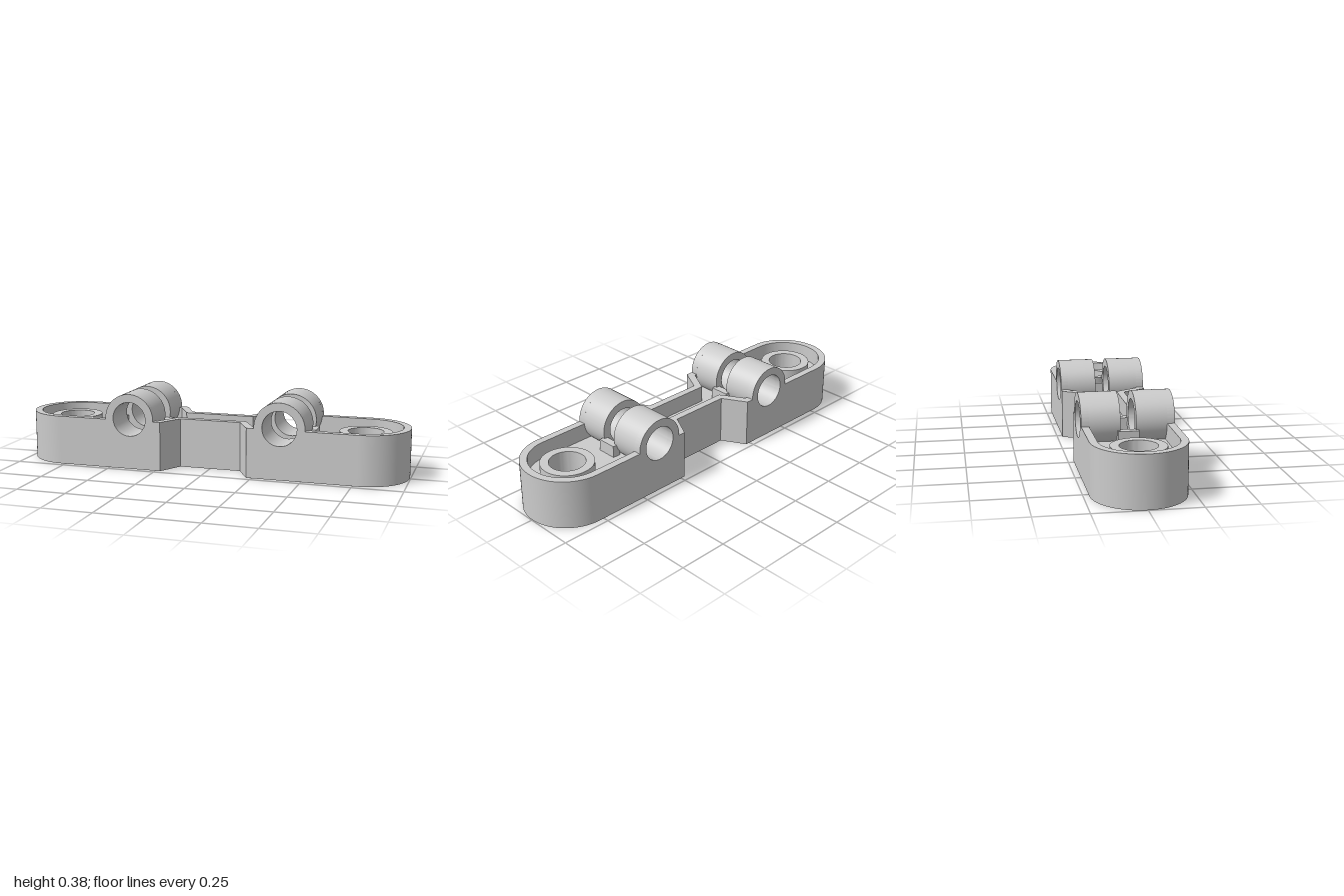
import * as THREE from 'three';
import { toCreasedNormals } from 'three/addons/utils/BufferGeometryUtils.js';

const H = 0.25, W = 0.222, T = 0.037;            // body height, half width, wall thickness
const END_X = 0.775, HINGE_X = 0.39, HINGE_Y = 0.256;
const FLOOR_LOW = 0.085, FLOOR_TOP = 0.165;
const SLOT_X = 0.105, SLOT_Z = 0.037;
const material = new THREE.MeshStandardMaterial({ color: 0xcccccc });

function polygon(points) {
  return new THREE.Shape(points.map(([x, y]) => new THREE.Vector2(x, y)));
}

function circleHole(x, y, r) {
  return new THREE.Path().absarc(x, y, r, 0, Math.PI * 2, true);
}

function slotHole(x) {
  return polygon([[x - SLOT_X, -SLOT_Z], [x - SLOT_X, SLOT_Z], [x + SLOT_X, SLOT_Z], [x + SLOT_X, -SLOT_Z]]);
}

function ring(x, y, outer, inner) {
  const shape = new THREE.Shape().absarc(x, y, outer, 0, Math.PI * 2, false);
  shape.holes.push(circleHole(x, y, inner));
  return shape;
}

function extrude(name, shape, depth) {
  const geometry = new THREE.ExtrudeGeometry(shape, { depth, bevelEnabled: false, curveSegments: 32 });
  const mesh = new THREE.Mesh(toCreasedNormals(geometry, 0.5), material);
  mesh.name = name;
  return mesh;
}

// Plan shape raised from y0 to y1
function slab(name, shape, y0, y1) {
  const mesh = extrude(name, shape, y1 - y0);
  mesh.geometry.rotateX(-Math.PI / 2);
  mesh.position.y = y0;
  return mesh;
}

// Side-view shape running from z0 to z1
function sidePart(name, shape, z0, z1) {
  const mesh = extrude(name, shape, z1 - z0);
  mesh.position.z = z0;
  return mesh;
}

// One arm of the link, pointing along +x
function createArm() {
  const arm = new THREE.Group();

  // Rounded end wall
  const end = new THREE.Shape();
  end.absarc(END_X, 0, W, -Math.PI / 2, Math.PI / 2, false);
  end.absarc(END_X, 0, W - T, Math.PI / 2, -Math.PI / 2, true);
  arm.add(slab('endWall', end, 0, H));

  // Straight side walls with the hinge arch and pin hole
  const R = 0.128, a = Math.asin((H - HINGE_Y) / R);
  const side = new THREE.Shape();
  side.moveTo(0.225, 0);
  side.lineTo(END_X, 0);
  side.lineTo(END_X, H);
  side.absarc(HINGE_X, HINGE_Y, R, a, Math.PI - a, false);
  side.lineTo(0.225, H);
  side.closePath();
  side.holes.push(circleHole(HINGE_X, HINGE_Y, 0.087));
  arm.add(sidePart('sideWall', side, W - T, W), sidePart('sideWall', side, -W, T - W));

  // Hinge barrels either side of the slot
  const barrel = ring(HINGE_X, HINGE_Y, R, 0.087);
  arm.add(sidePart('hingeBarrel', barrel, SLOT_Z, W - T), sidePart('hingeBarrel', barrel, T - W, -SLOT_Z));

  // Screw boss
  arm.add(slab('screwBoss', ring(END_X, 0, 0.13, 0.088), 0.025, 0.225));

  // Frame around the slot, below the floor
  const x0 = HINGE_X - 0.145, x1 = HINGE_X + 0.145, z = 0.065, c = 0.025;
  const frame = polygon([[x0 + c, -z], [x1 - c, -z], [x1, c - z], [x1, z - c],
    [x1 - c, z], [x0 + c, z], [x0, z - c], [x0, c - z]]);
  frame.holes.push(slotHole(HINGE_X));
  arm.add(slab('slotFrame', frame, 0.025, FLOOR_LOW));

  // Slot end stops, above the floor
  for (const s of [-1, 1]) {
    const stop = new THREE.Mesh(new THREE.BoxGeometry(0.04, 0.06, 0.1), material);
    stop.name = 'slotStop';
    stop.position.set(HINGE_X + s * 0.125, FLOOR_TOP + 0.03, 0);
    arm.add(stop);
  }
  return arm;
}

export function createModel() {
  const model = new THREE.Group();
  model.name = 'hingeLink';

  // Two arms and two waist walls, each a half turn apart
  const waist = polygon([[-0.225, W], [-0.25, W - T], [-0.18, 0.063], [0.18, 0.063],
    [0.25, W - T], [0.225, W], [0.158, 0.1], [-0.158, 0.1]]);
  for (const angle of [0, Math.PI]) {
    const arm = createArm();
    arm.name = angle ? 'rightArm' : 'leftArm';
    arm.rotation.y = angle;
    const wall = slab('waistWall', waist, 0, H);
    wall.rotation.y = angle;
    model.add(arm, wall);
  }

  // Floor web at mid height with bores and slots
  const w = W - T / 2;
  const floor = new THREE.Shape();
  floor.absarc(END_X, 0, w, -Math.PI / 2, Math.PI / 2, false);
  for (const [x, z] of [[0.237, w], [0.17, 0.08], [-0.17, 0.08], [-0.237, w]]) floor.lineTo(x, z);
  floor.absarc(-END_X, 0, w, Math.PI / 2, Math.PI * 1.5, false);
  for (const [x, z] of [[-0.237, -w], [-0.17, -0.08], [0.17, -0.08], [0.237, -w]]) floor.lineTo(x, z);
  floor.closePath();
  for (const s of [-1, 1]) floor.holes.push(circleHole(s * END_X, 0, 0.089), slotHole(s * HINGE_X));
  model.add(slab('floor', floor, FLOOR_LOW, FLOOR_TOP));

  return model;
}
